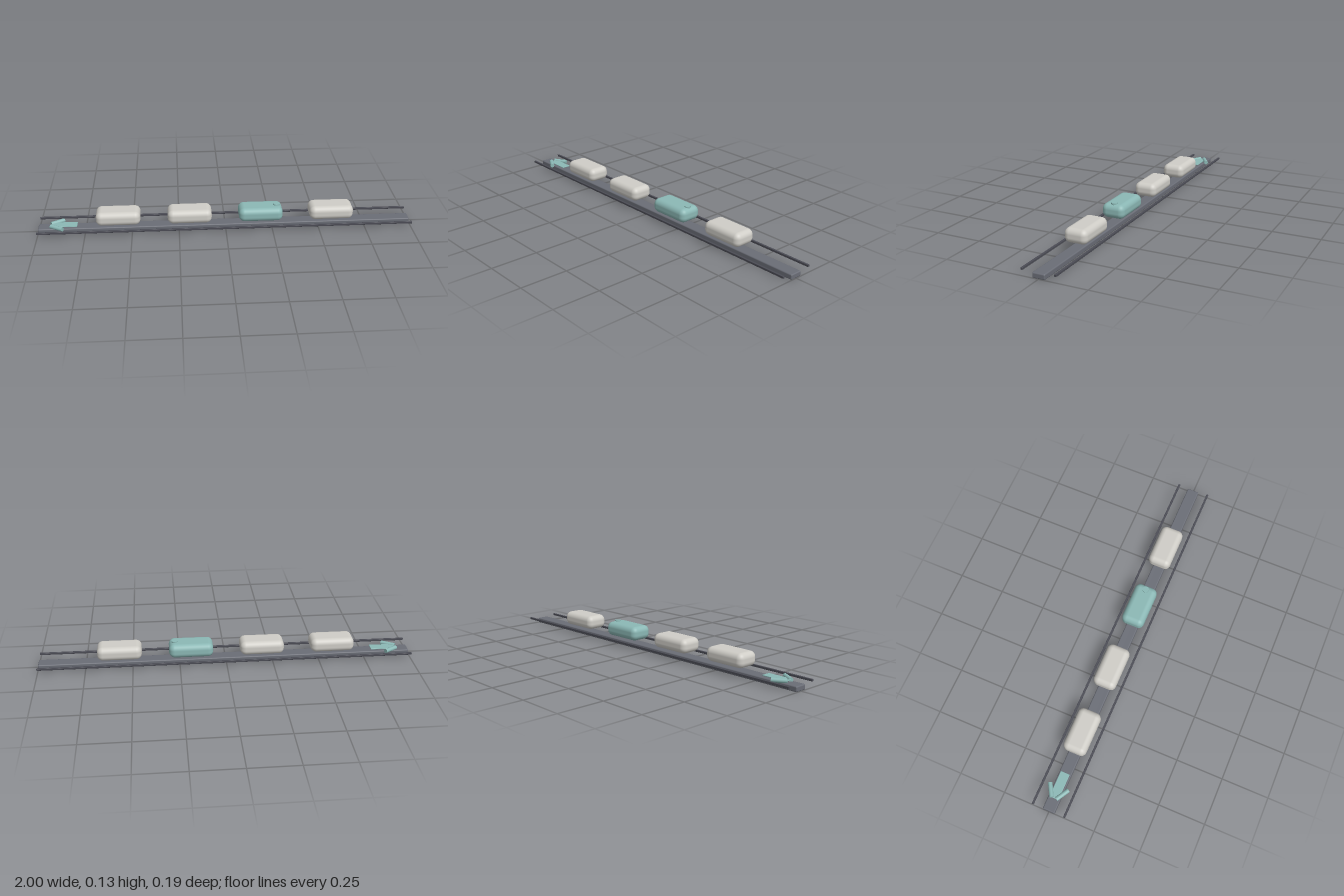
import * as THREE from 'three';
import { RoundedBoxGeometry } from 'three/addons/geometries/RoundedBoxGeometry.js';

const material = (name, color) => {
  const m = new THREE.MeshStandardMaterial({ color });
  m.name = name;
  return m;
};

export function createModel() {
  const model = new THREE.Group();
  model.name = 'podTrack';
  const slate = material('slate grey', 0x6a6d76);
  const dark = material('dark grey', 0x4b4c55);
  const ivory = material('warm ivory', 0xcfcdc7);
  const teal = material('soft teal', 0x8bb8b5);

  const add = (name, geometry, mat, x, y, z, parent = model) => {
    const mesh = new THREE.Mesh(geometry, mat);
    mesh.name = name;
    mesh.position.set(x, y, z);
    parent.add(mesh);
    return mesh;
  };

  // Long central beam and the two side rails
  add('beam', new RoundedBoxGeometry(2, 0.028, 0.066, 3, 0.006), slate, 0, 0.014, 0);
  for (const side of [-1, 1]) {
    add(side > 0 ? 'frontRail' : 'backRail',
      new RoundedBoxGeometry(2, 0.011, 0.011, 2, 0.0015), dark, 0, 0.034, side * 0.087);
  }

  // Four rounded pods above the beam, the third one highlighted
  const podGeometry = new RoundedBoxGeometry(0.235, 0.076, 0.124, 4, 0.03);
  for (let i = 0; i < 4; i++) {
    add(i === 2 ? 'activePod' : 'pod', podGeometry, i === 2 ? teal : ivory,
      -0.572 + i * 0.38, 0.083, 0);
  }

  // Round button on the highlighted pod
  add('button', new THREE.CylinderGeometry(0.017, 0.017, 0.01, 24), teal, 0.274, 0.121, 0);

  // Direction arrow: flat shaft and two round barbs
  const arrow = new THREE.Group();
  arrow.name = 'arrow';
  model.add(arrow);
  add('arrowShaft', new RoundedBoxGeometry(0.14, 0.005, 0.05, 2, 0.002), teal, -0.862, 0.036, 0, arrow);
  const barbGeometry = new THREE.CylinderGeometry(0.0115, 0.0115, 0.076, 20);
  for (const side of [-1, 1]) {
    const barb = add('arrowBarb', barbGeometry, teal, -0.899, 0.0355, side * 0.032, arrow);
    barb.quaternion.setFromUnitVectors(new THREE.Vector3(0, 1, 0),
      new THREE.Vector3(0.066, 0, side * 0.039).normalize());
  }
  return model;
}
